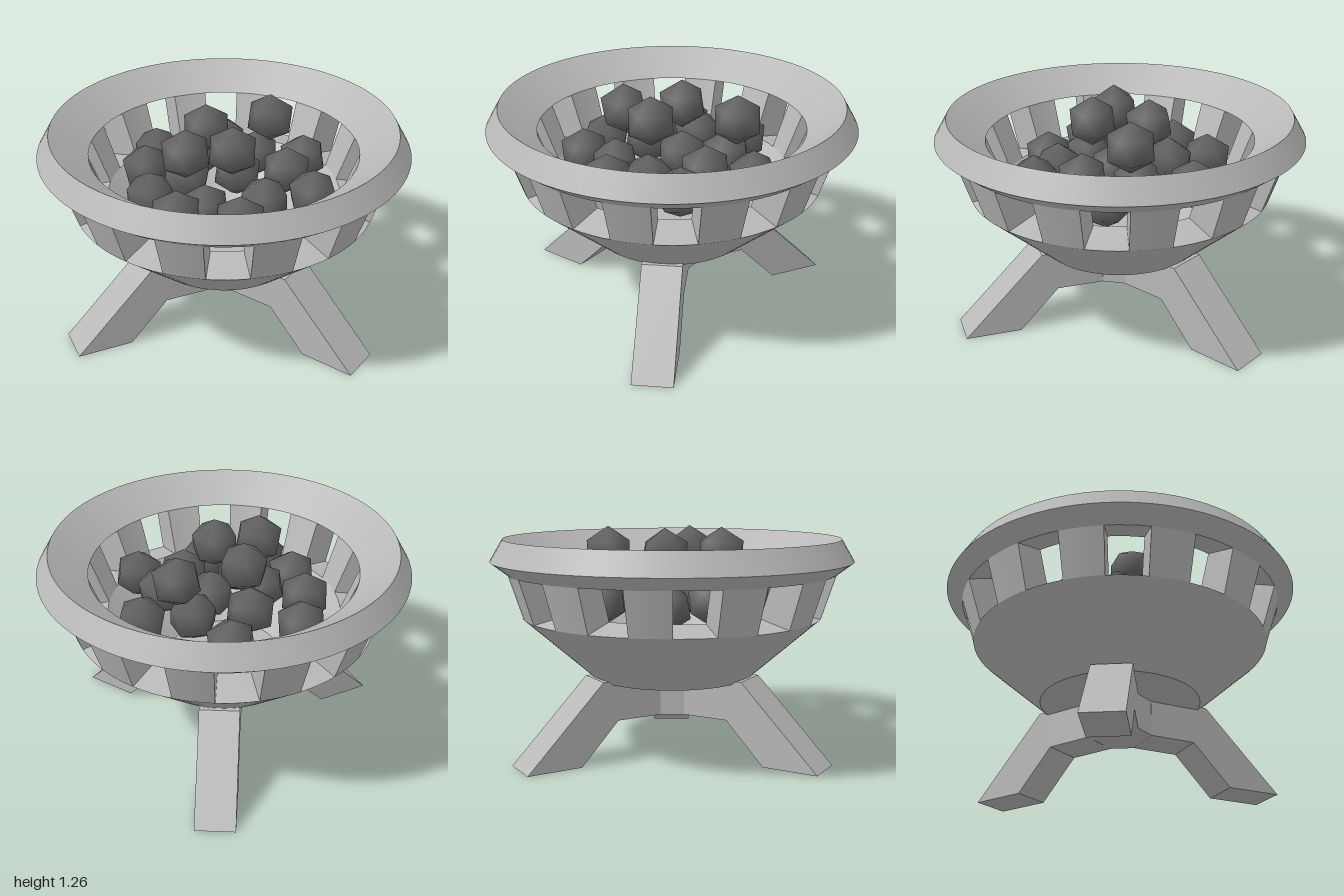
import * as THREE from 'three';
import { mergeGeometries } from 'three/addons/utils/BufferGeometryUtils.js';

const RAD = Math.PI / 180;

// Conical band between two [radius, height] points; faces outward when going up
function band(a, b, segments = 96, start = 0, sweep = 360) {
  const pts = [a, b].map(([r, y]) => new THREE.Vector2(r, y));
  return new THREE.LatheGeometry(pts, segments, start * RAD, sweep * RAD);
}

function outline(points) {
  return new THREE.Shape(points.map(([x, y]) => new THREE.Vector2(x, y)));
}

function bands(profile) {
  return mergeGeometries(profile.slice(1).map((p, i) => band(profile[i], p)));
}

export function createModel() {
  const model = new THREE.Group();
  const stone = new THREE.MeshStandardMaterial({ color: 0xb8b8b8, side: THREE.DoubleSide });
  stone.name = 'pale stone';
  const charcoal = new THREE.MeshStandardMaterial({ color: 0x626262 });
  charcoal.name = 'charcoal';

  function add(name, geometry, material, parent = model) {
    const mesh = new THREE.Mesh(geometry, material);
    mesh.name = name;
    parent.add(mesh);
    return mesh;
  }

  // Corners of the wall where the slots are cut
  const outLow = [0.83, 0.77], outHigh = [0.908, 1.01];
  const inLow = [0.64, 0.81], inHigh = [0.73, 1.06];

  // Lower bowl, with sloping slot sills
  add('bowl', bands([[0, 0.43], [0.444, 0.43], outLow, inLow, [0.31, 0.5], [0, 0.5]]), stone);

  // Flared rim, with the slot ceilings below
  add('rim', bands([inHigh, outHigh, [1, 1.08], [0.93, 1.2], inHigh]), stone);

  // Twelve posts, each as wide as the slot beside it
  const postSide = new THREE.ShapeGeometry(outline([inLow, outLow, outHigh, inHigh]));
  const posts = new THREE.Group();
  posts.name = 'posts';
  model.add(posts);
  const postGeometry = mergeGeometries([
    band(outLow, outHigh, 4, -15, 15),
    band(inHigh, inLow, 4, -15, 15),
    postSide.clone().rotateY(-105 * RAD),
    postSide.clone().rotateY(-90 * RAD).scale(1, 1, 1),
  ]);
  for (let i = 0; i < 12; i++) {
    add('post', postGeometry, stone, posts).rotation.y = i * 30 * RAD;
  }

  // Tripod hub with narrow flats between the legs
  const corners = [];
  for (let i = 0; i < 3; i++) {
    for (const side of [-1, 1]) {
      const a = (i * 120 + side * 21.6 - 90) * RAD;
      corners.push([0.1764 * Math.cos(a), 0.1764 * Math.sin(a)]);
    }
  }
  const hub = new THREE.ExtrudeGeometry(outline(corners), { depth: 0.22, bevelEnabled: false });
  add('tripodHub', hub.rotateX(-Math.PI / 2).translate(0, 0.23, 0), stone);

  // Three splayed legs, one of them at the back
  const legShape = outline([[0.139, 0.23], [0.4, 0.23], [0.62, 0], [0.93, 0], [0.486, 0.45], [0.139, 0.45]]);
  const legGeometry = new THREE.ExtrudeGeometry(legShape, { depth: 0.22, bevelEnabled: false });
  legGeometry.translate(0, 0, -0.11);
  for (const [name, angle] of [['leftLeg', 60], ['rightLeg', -60], ['backLeg', 180]]) {
    add(name, legGeometry, stone).rotation.y = (angle - 90) * RAD;
  }

  // Coal lump: icosahedron standing on a corner, with smooth normals
  const coal = new THREE.IcosahedronGeometry(0.14, 0);
  coal.rotateZ(Math.atan(2 / (1 + Math.sqrt(5))));
  const p = coal.attributes.position;
  const n = coal.attributes.normal;
  for (let i = 0; i < p.count; i++) {
    n.setXYZ(i, p.getX(i) / 0.14, p.getY(i) / 0.14, p.getZ(i) / 0.14);
  }

  // Heap of coals: x, height, z
  const heap = [
    [-0.18, 1.12, 0.21], [-0.11, 1.12, -0.11], [0.06, 1.12, 0.15], [0.23, 1.12, -0.28],
    [-0.06, 0.88, -0.47], [-0.42, 0.88, -0.28], [-0.44, 0.9, -0.02], [-0.15, 0.92, -0.22],
    [0.42, 0.88, -0.28], [0.15, 0.9, -0.26], [0.34, 0.92, -0.04], [0.07, 0.9, -0.03],
    [-0.2, 0.9, 0.06], [-0.37, 0.88, 0.25], [0.24, 0.88, 0.24], [0.49, 0.9, 0.17],
    [-0.07, 0.86, 0.31], [-0.2, 0.89, 0.44], [0.13, 0.87, 0.43],
  ];
  const coals = new THREE.Group();
  coals.name = 'coals';
  model.add(coals);
  heap.forEach(([x, y, z], i) => {
    const lump = add('coal', coal, charcoal, coals);
    lump.position.set(x, y, z);
    lump.rotation.y = i * 1.1;
  });

  return model;
}
